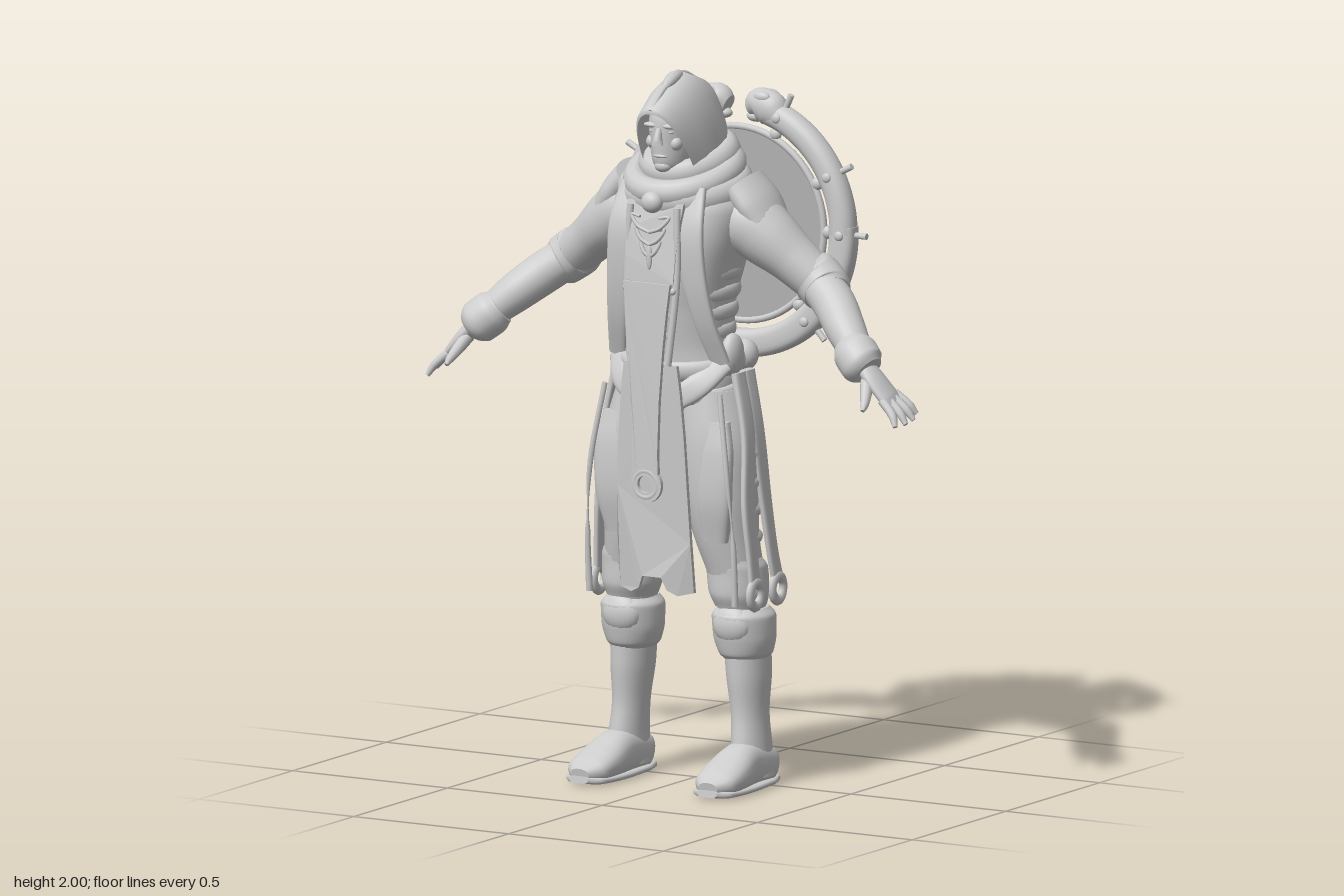
import * as THREE from 'three';
import { mergeGeometries } from 'three/addons/utils/BufferGeometryUtils.js';

const V = (x, y, z) => new THREE.Vector3(x, y, z);

export function createModel() {
  const model = new THREE.Group();
  const clay = new THREE.MeshStandardMaterial({ color: 0xcccccc, side: THREE.DoubleSide });
  clay.name = 'lightGrey';
  const glass = new THREE.MeshStandardMaterial({ color: 0xb2b2b2, side: THREE.DoubleSide });
  glass.name = 'midGrey';

  const add = (name, geo, mat = clay) => {
    const mesh = new THREE.Mesh(geo, mat);
    mesh.name = name;
    model.add(mesh);
    return mesh;
  };

  // Smooth skin over rows of points
  function skin(rows, closed) {
    const n = rows[0].length, pos = [], idx = [];
    rows.forEach(r => r.forEach(p => pos.push(p.x, Math.max(0, p.y), p.z)));
    for (let i = 0; i < rows.length - 1; i++) for (let j = 0; j < (closed ? n : n - 1); j++) {
      const a = i * n + j, b = i * n + (j + 1) % n;
      idx.push(a, a + n, b, b, a + n, b + n);
    }
    const g = new THREE.BufferGeometry();
    g.setAttribute('position', new THREE.Float32BufferAttribute(pos, 3));
    g.setIndex(idx);
    g.computeVertexNormals();
    return g;
  }

  // Capped sweep through points [x, y, z, radiusA, radiusB]; pow < 1 makes the section boxier
  function sweep(name, pts, { level = false, ref = V(0, 0, 1), pow = 1, sides = 24, steps = 6 } = {}) {
    const path = new THREE.CatmullRomCurve3(pts.map(p => V(p[0], p[1], p[2])));
    const size = new THREE.CatmullRomCurve3(pts.map(p => V(p[3], p[4] ?? p[3], 0)));
    const rows = [], N = (pts.length - 1) * steps;
    const pw = v => Math.sign(v) * Math.abs(v) ** pow;
    for (let i = 0; i <= N; i++) {
      const c = path.getPoint(i / N), r = size.getPoint(i / N);
      const t = level ? V(0, pts.at(-1)[1] > pts[0][1] ? 1 : -1, 0) : path.getTangent(i / N);
      const u = t.clone().cross(ref).normalize(), v = u.clone().cross(t);
      rows.push(Array.from({ length: sides }, (_, j) => {
        const a = j / sides * Math.PI * 2;
        return c.clone().addScaledVector(u, pw(Math.cos(a)) * r.x).addScaledVector(v, pw(Math.sin(a)) * r.y);
      }));
    }
    const ends = [path.getPoint(0), path.getPoint(1)].map(p => Array(sides).fill(p));
    return add(name, mergeGeometries([skin(rows, true), skin([ends[0], rows[0]], true), skin([rows[N], ends[1]], true)]));
  }

  const blob = (name, x, y, z, rx, ry, rz) =>
    add(name, new THREE.SphereGeometry(1, 20, 14).scale(rx, ry, rz).translate(x, y, z));
  // Elliptical fold of cloth or belt lying flat, front lowered by tilt
  const fold = (name, rx, rz, tube, y, z, tilt = 0, tall = 1) =>
    add(name, new THREE.TorusGeometry(rx, tube, 12, 40).rotateX(Math.PI / 2).scale(1, tall, rz / rx).rotateX(tilt).translate(0, y, z));
  // Cloth plate cut from a shape and bent in z by a rule
  function panel(name, outline, bend, hole) {
    const shape = new THREE.Shape(outline.map(p => new THREE.Vector2(p[0], p[1])));
    if (hole) shape.holes.push(new THREE.Path().absarc(hole[0], hole[1], hole[2], 0, Math.PI * 2, true));
    const g = new THREE.ExtrudeGeometry(shape, { depth: 0.012, bevelEnabled: false, curveSegments: 16 });
    const p = g.attributes.position;
    for (let i = 0; i < p.count; i++) p.setZ(i, p.getZ(i) + bend(p.getX(i), p.getY(i)));
    g.computeVertexNormals();
    return add(name, g);
  }
  const mirrored = half => [...half, ...half.slice().reverse().map(([x, y]) => [-x, y])];
  const lerpTable = (t, y) => {
    for (let i = 0; i < t.length - 1; i++) if (y >= t[i + 1][0])
      return THREE.MathUtils.mapLinear(y, t[i][0], t[i + 1][0], t[i][1], t[i + 1][1]);
    return t.at(-1)[1];
  };

  // Torso
  sweep('torso', [[0, 1.03, .06, .16, .1], [0, 1.15, .07, .175, .125], [0, 1.25, .08, .15, .125], [0, 1.35, .08, .148, .14],
    [0, 1.45, .07, .165, .165], [0, 1.55, .06, .19, .17], [0, 1.63, .055, .2, .155], [0, 1.7, .05, .15, .13], [0, 1.76, .05, .08, .09]],
    { level: true, pow: .85, sides: 40 });
  for (let i = 0; i < 4; i++) fold('backBand', .142 + i * .004, .125 + i * .01, .014, 1.28 + i * .055, .075 - i * .002, 0, 1.6);
  fold('belt', .168, .13, .02, 1.19, .075, .12, 1.4);
  fold('lowerBelt', .175, .125, .014, 1.12, .07, .18, 1.5);
  blob('backPouch', 0, 1.2, -.06, .05, .04, .03);

  // Cowl folds and clasp
  fold('mantle', .155, .14, .04, 1.675, .055, .2, 1.1);
  fold('cowlFold', .135, .145, .035, 1.715, .06, .3, 1.1);
  fold('innerCowlFold', .105, .115, .035, 1.75, .035, .28, 1.2);
  blob('clasp', 0, 1.652, .235, .032, .03, .025);

  // Head and face
  sweep('head', [[0, 1.66, .07, .05, .055], [0, 1.72, .1, .045, .07], [0, 1.75, .11, .053, .082], [0, 1.8, .11, .062, .088],
    [0, 1.87, .11, .066, .09], [0, 1.93, .1, .055, .08]], { level: true });
  sweep('nose', [[0, 1.855, .195, .008, .01], [0, 1.825, .204, .012, .014], [0, 1.808, .206, .017, .013]], { level: true });
  blob('mouth', 0, 1.775, .19, .022, .006, .01);
  blob('chin', 0, 1.745, .175, .026, .018, .02);
  for (const s of [1, -1]) {
    blob('brow', s * .028, 1.86, .188, .026, .008, .013);
    blob('cheek', s * .038, 1.81, .168, .018, .02, .02);
    blob('eye', s * .027, 1.843, .182, .012, .006, .01);
  }

  // Hood: arches [topY, topZ, bottomY, bottomZ, halfWidth] from brow to nape
  const hood = [[1.9, .243, 1.72, .13, .08], [1.915, .245, 1.72, .125, .084], [1.965, .165, 1.7, .09, .1], [1.995, .08, 1.7, .04, .104],
    [1.965, -.005, 1.7, -.01, .1], [1.9, -.06, 1.7, -.05, .078], [1.8, -.085, 1.7, -.085, .035], [1.72, -.09, 1.7, -.09, .005]];
  add('hood', skin(hood.map(([ty, tz, by, bz, w]) => Array.from({ length: 33 }, (_, j) => {
    const c = Math.cos(j / 32 * Math.PI), h = Math.max(0, Math.sin(j / 32 * Math.PI)) ** .8;
    return V(w * Math.sign(c) * Math.abs(c) ** .9, by + (ty - by) * h, bz + (tz - bz) * h);
  })), false));
  sweep('hoodRidge', [[0, 1.908, .243, .006], [0, 1.962, .168, .009], [0, 1.99, .08, .009], [0, 1.96, -.005, .007]], { ref: V(1, 0, 0), sides: 8 });

  // Front tabard, long strip with ring end, and back cloth
  const frontZ = [[1.7, .2], [1.55, .236], [1.4, .243], [1.1, .25], [.9, .25], [.77, .248], [.55, .222]];
  panel('tabard', mirrored([[.03, .6], [.045, .565], [.075, .55], [.118, .56], [.117, .7], [.113, .85], [.105, 1], [.095, 1.12], [.085, 1.2]]),
    (x, y) => lerpTable(frontZ, y) - 2 * x * x);
  const ringEnd = Array.from({ length: 13 }, (_, i) => {
    const a = -Math.PI / 2 + i / 12 * 2.2;
    return [.052 * Math.cos(a), .865 + .052 * Math.sin(a)];
  });
  panel('frontStrip', mirrored([...ringEnd, [.04, .95], [.045, 1.1], [.055, 1.25], [.065, 1.35], [.075, 1.43]]),
    (x, y) => lerpTable(frontZ, y) + .012, [0, .865, .024]);
  add('frontStripRing', new THREE.TorusGeometry(.037, .012, 10, 28).translate(0, .865, .263));
  panel('chestPanel', mirrored([[.075, 1.43], [.08, 1.5], [.085, 1.57], [.09, 1.65]]), (x, y) => lerpTable(frontZ, y) - x * x);
  panel('backCloth', mirrored([[.03, .72], [.06, .68], [.13, .69], [.128, .8], [.122, .95], [.115, 1.05], [.1, 1.16]]),
    (x, y) => lerpTable([[1.16, -.06], [1.05, -.075], [.9, -.08], [.68, -.088]], y) + 2.5 * x * x);

  // Chest ornament
  for (const s of [1, -1]) for (let i = 0; i < 3; i++) {
    const y = 1.6 - i * .035, w = .06 - i * .015;
    sweep('ornament', [[0, y - .03, .25, .005], [s * w * .6, y - .015, .25, .006], [s * w, y + .015, .244, .005], [s * w * .5, y + .012, .249, .004]], { sides: 8 });
  }
  blob('ornamentDrop', 0, 1.5, .25, .009, .035, .006);

  // Left and right sides
  for (const s of [1, -1]) {
    const X = pts => pts.map(([x, ...r]) => [s * x, ...r]);
    // Coat lapels and hip pieces
    sweep('lapel', X([[.1, 1.69, .17, .035, .012], [.11, 1.58, .212, .04, .012], [.12, 1.45, .21, .038, .012], [.14, 1.32, .185, .032, .012], [.165, 1.2, .14, .028, .012]]), { pow: .6 });
    sweep('coatEdge', X([[.075, 1.64, .225, .01], [.08, 1.44, .235, .01], [.06, 1.2, .25, .01]]), { sides: 10 });
    sweep('beltDrape', X([[.17, 1.2, .13, .03, .015], [.12, 1.14, .19, .035, .015], [.05, 1.09, .22, .03, .012]]), { pow: .7 });
    blob('hipPouch', s * .178, 1.22, .1, .028, .06, .045);
    blob('rearPouch', s * .15, 1.2, -.01, .04, .045, .04);
    blob('stud', s * .075, 1.41, .25, .01, .01, .008);

    // Sleeve, forearm and cuffs
    sweep('sleeve', X([[.12, 1.6, .03, .07, .08], [.19, 1.585, .03, .092, .098], [.25, 1.545, .025, .086, .09], [.32, 1.49, .012, .07, .076], [.4, 1.425, 0, .062]]));
    sweep('forearm', X([[.38, 1.44, 0, .055], [.46, 1.385, .03, .06], [.53, 1.325, .08, .056], [.6, 1.26, .125, .044]]));
    sweep('elbowCuff', X([[.365, 1.455, .002, .066], [.385, 1.44, -.005, .073], [.425, 1.41, .005, .07], [.44, 1.4, .015, .06]]));
    sweep('shoulderFold', X([[.17, 1.69, .03, .05, .09], [.215, 1.64, .025, .05, .095], [.25, 1.59, .025, .045, .085]]));
    sweep('wristCuff', X([[.565, 1.285, .11, .05], [.59, 1.265, .122, .063], [.62, 1.24, .135, .062], [.64, 1.225, .138, .045]]));

    // Hand
    sweep('palm', X([[.62, 1.24, .133, .024, .033], [.66, 1.2, .133, .022, .043], [.7, 1.155, .128, .018, .047], [.715, 1.14, .126, .012, .042]]));
    [[.715, 1.135, .163, .755, 1.085, .185], [.715, 1.14, .14, .768, 1.088, .15], [.715, 1.143, .115, .77, 1.095, .112], [.71, 1.147, .09, .757, 1.105, .074]]
      .forEach(([x, y, z, a, b, c]) => sweep('finger', X([[x - .015, y + .015, z, .013], [(x + a) / 2 + .004, (y + b) / 2 + .004, (z + c) / 2, .012], [a, b, c, .007]]), { sides: 10 }));
    sweep('thumb', X([[.645, 1.2, .155, .018], [.66, 1.165, .185, .016], [.67, 1.14, .21, .011], [.672, 1.128, .222, .006]]), { sides: 10 });

    // Leg, knee pieces, boot
    sweep('thigh', X([[.1, 1.12, .06, .095, .11], [.12, .97, .075, .112, .115], [.13, .82, .082, .105, .105], [.145, .7, .075, .09, .092], [.165, .6, .06, .078, .082], [.175, .5, .045, .066, .07]]), { level: true });
    sweep('thighPlate', X([[.165, 1.04, .155, .035, .02], [.17, .95, .17, .05, .022], [.165, .82, .172, .052, .022], [.155, .7, .15, .04, .02]]), { level: true, pow: .7 });
    for (let i = 0; i < 4; i++) blob('thighWrap', s * (.14 + i * .004), .94 - i * .08, .055, .1 - i * .006, .04, .1 - i * .004);
    sweep('kneeGuard', X([[.165, .645, .07, .078, .075], [.168, .62, .06, .086, .085], [.172, .55, .055, .083, .088], [.175, .51, .05, .07, .078]]), { level: true });
    sweep('shinCuff', X([[.178, .505, .04, .07, .075], [.179, .48, .04, .088, .093], [.18, .42, .037, .087, .088], [.181, .375, .033, .074, .08], [.181, .36, .03, .06, .07]]), { level: true });
    blob('kneeCap', s * .178, .46, .1, .06, .055, .035);
    sweep('boot', X([[.183, .4, .028, .062, .078], [.187, .31, .026, .058, .077], [.192, .2, .028, .048, .067], [.198, .11, .03, .05, .075], [.2, .03, .025, .056, .08]]), { level: true });
    sweep('foot', X([[.198, .045, -.058, .03, .04], [.2, .055, -.02, .054, .056], [.2, .065, .08, .058, .066], [.203, .05, .17, .068, .05], [.206, .036, .235, .064, .036], [.207, .028, .28, .03, .02]]), { ref: V(0, 1, 0), pow: .85 });
    sweep('sole', X([[.198, .011, -.062, .036, .011], [.2, .011, 0, .058, .011], [.203, .011, .16, .07, .011], [.206, .013, .25, .062, .011], [.207, .017, .284, .03, .01]]), { ref: V(0, 1, 0), pow: .6 });

    // Hanging side straps with ring ends
    for (const [z0, z1, z2] of [[.09, .115, .1], [.04, .02, -.02]]) {
      sweep('sideStrap', X([[.19, 1.17, z0, .012, .028], [.225, 1, z0 + .005, .01, .03], [.236, .8, z1, .01, .026], [.246, .66, (z1 + z2) / 2, .009, .024], [.25, .58, z2, .009, .026]]), { level: true, pow: .6 });
      add('strapRing', new THREE.TorusGeometry(.029, .014, 10, 24).rotateY(Math.PI / 2).scale(.8, 1.15, 1).translate(s * .252, .552, z2));
    }
    sweep('thinCord', X([[.185, 1.12, .18, .008], [.22, .9, .2, .008], [.235, .7, .19, .008], [.235, .53, .18, .01]]), { sides: 8 });
  }

  // Round frame behind the back
  const cy = 1.52, cz = -.233;
  const onRing = (deg, r) => [r * Math.cos(deg * Math.PI / 180), cy + r * Math.sin(deg * Math.PI / 180)];
  add('mirrorDisc', new THREE.CylinderGeometry(.266, .266, .01, 64).rotateX(Math.PI / 2).translate(0, cy, cz), glass);
  add('innerRim', new THREE.TorusGeometry(.272, .01, 10, 64).translate(0, cy, cz));
  for (const s of [1, -1]) {
    const arc = (from, to, n, ra, rb) => Array.from({ length: n }, (_, i) => {
      const [x, y] = onRing(from + (to - from) * i / (n - 1), .336);
      return [s * x, y, cz, ra, rb];
    });
    sweep('lowerFrame', arc(4, -90, 12, .04, .032), { pow: .7 });
    sweep('upperFrame', arc(74, 0, 10, .038, .037), { pow: .9 });
    // Carved heads facing each other at the top gap
    sweep('carvedHead', [[s * .13, 1.828, cz, .036, .036], [s * .1, 1.85, cz, .05, .042], [s * .065, 1.862, cz, .044, .04], [s * .035, 1.85, cz, .026, .026]]);
    blob('carvedJaw', s * .055, 1.825, cz, .03, .016, .022);
    for (const t of [1, -1]) blob('carvedBrow', s * .085, 1.885, cz + t * .024, .028, .016, .014);
    for (const deg of [0, 28, 66, -48]) {
      const [x, y] = onRing(deg, .365), [x2, y2] = onRing(deg, .41);
      sweep('spike', [[s * x, y, cz, .009], [s * x2, y2, cz, .009]], { sides: 10, steps: 1 });
      const [bx, by] = onRing(deg, .285);
      blob('frameJoint', s * bx, by, cz, .018, .018, .014);
      const [kx, ky] = onRing(deg, .34);
      for (const t of [1, -1]) blob('frameStud', s * kx, ky, cz + t * .034, .014, .014, .008);
    }
  }
  return model;
}
